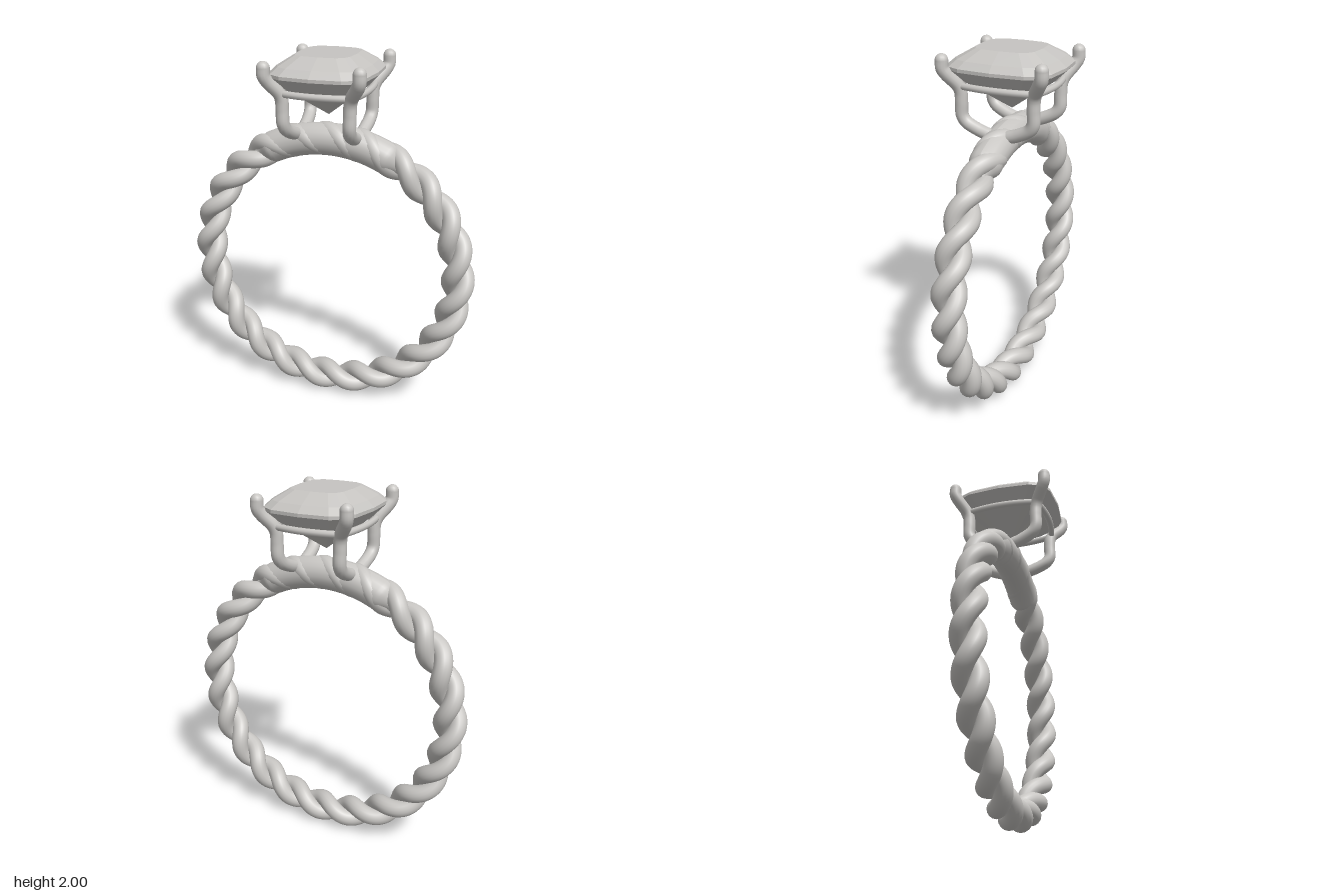
import * as THREE from 'three';

const CENTER_Y = 0.82;

// One strand of the rope: a helix wound around the ring circle
class StrandCurve extends THREE.Curve {
  constructor(phase) {
    super();
    this.phase = phase;
  }
  getPoint(u, target = new THREE.Vector3()) {
    const t = u * Math.PI * 2;
    const twist = 12 * t + this.phase;
    const r = 0.73 + 0.041 * Math.cos(twist);
    return target.set(r * Math.cos(t), CENTER_Y - r * Math.sin(t), 0.041 * Math.sin(twist));
  }
}

// Smooth upper part of the band, tapering into the rope at both ends
function sleeveGeometry() {
  const R = 0.727, half = THREE.MathUtils.degToRad(33);
  const g = new THREE.TorusGeometry(R, 0.086, 20, 72, half * 2);
  g.rotateZ(Math.PI / 2 - half);
  const p = g.attributes.position;
  for (let i = 0; i < p.count; i++) {
    const a = Math.atan2(p.getY(i), p.getX(i));
    const fromEnd = half - Math.abs(a - Math.PI / 2);
    const k = 0.5 + 0.5 * THREE.MathUtils.smoothstep(fromEnd, 0, 0.13);
    const cx = R * Math.cos(a), cy = R * Math.sin(a);
    p.setXYZ(i, cx + (p.getX(i) - cx) * k, cy + (p.getY(i) - cy) * k, p.getZ(i) * k);
  }
  g.computeVertexNormals();
  g.translate(0, CENTER_Y, 0);
  return g;
}

// Faceted cushion stone: scaled copies of one outline joined from culet to table
function gemGeometry() {
  const quarter = [[1, 0], [0.95, 0.6], [0.84, 0.82], [0.6, 0.95]];
  const outline = [];
  for (let q = 0; q < 4; q++) {
    for (let i = 0; i < 4; i++) {
      const [x, z] = q % 2 ? (i ? quarter[4 - i].slice() : [0, 1]) : quarter[i];
      // quadrants 0..3 run counter-clockwise in x, z
      const sx = q === 1 || q === 2 ? -1 : 1, sz = q >= 2 ? -1 : 1;
      outline.push([x * sx * 0.265, z * sz * 0.295]);
    }
  }
  const levels = [[1.68, 0], [1.84, 0.78], [1.9, 1], [1.917, 1], [1.95, 0.87], [2, 0.57], [2, 0]];
  const n = outline.length, pos = [], index = [];
  for (const [y, s] of levels) {
    for (const [x, z] of outline) pos.push(x * s, y, z * s);
  }
  for (let l = 0; l < levels.length - 1; l++) {
    for (let i = 0; i < n; i++) {
      const j = (i + 1) % n;
      const a = l * n + i, b = l * n + j, c = a + n, d = b + n;
      if (levels[l][1] > 0) index.push(a, c, b);
      if (levels[l + 1][1] > 0) index.push(b, c, d);
    }
  }
  const g = new THREE.BufferGeometry();
  g.setAttribute('position', new THREE.Float32BufferAttribute(pos, 3));
  g.setIndex(index);
  const flat = g.toNonIndexed();
  flat.computeVertexNormals();
  return flat;
}

export function createModel() {
  const model = new THREE.Group();
  model.name = 'ring';
  const metal = new THREE.MeshStandardMaterial({ color: 0xc8c6c3 });
  metal.name = 'metal';
  const stone = new THREE.MeshStandardMaterial({ color: 0xc6c4c1 });
  stone.name = 'stone';

  const add = (parent, name, geometry, material = metal) => {
    const mesh = new THREE.Mesh(geometry, material);
    mesh.name = name;
    parent.add(mesh);
    return mesh;
  };

  // Band: two twisted strands and the smooth top
  const band = new THREE.Group();
  band.name = 'band';
  model.add(band);
  [0, Math.PI].forEach((phase, i) =>
    add(band, `ropeStrand${i + 1}`, new THREE.TubeGeometry(new StrandCurve(phase), 480, 0.049, 16, true)));
  add(band, 'smoothTop', sleeveGeometry());

  // Four bent prongs with rounded ends
  const prongPath = [
    [0.163, 1.575, 0.05], [0.166, 1.595, 0.11], [0.172, 1.63, 0.175], [0.176, 1.665, 0.197],
    [0.178, 1.73, 0.198], [0.18, 1.785, 0.2], [0.19, 1.82, 0.21],
    [0.232, 1.882, 0.25], [0.245, 1.912, 0.265], [0.246, 1.952, 0.266],
  ];
  const setting = new THREE.Group();
  setting.name = 'setting';
  model.add(setting);
  for (const sx of [1, -1]) {
    for (const sz of [1, -1]) {
      const pts = prongPath.map(([x, y, z]) => new THREE.Vector3(x * sx, y, z * sz));
      const prong = new THREE.Group();
      prong.name = `${sz > 0 ? 'front' : 'back'}${sx > 0 ? 'Left' : 'Right'}Prong`;
      setting.add(prong);
      add(prong, 'prongWire', new THREE.TubeGeometry(new THREE.CatmullRomCurve3(pts), 48, 0.034, 14));
      for (const end of [pts[0], pts[pts.length - 1]]) {
        add(prong, 'prongEnd', new THREE.SphereGeometry(0.034, 14, 10)).position.copy(end);
      }
    }
  }

  // Thin gallery rail, bowed between neighbouring prongs
  const corners = [[1, 1], [-1, 1], [-1, -1], [1, -1]].map(([x, z]) => new THREE.Vector3(x * 0.187, 1.818, z * 0.207));
  corners.forEach((a, i) => {
    const b = corners[(i + 1) % 4];
    const mid = a.clone().add(b).multiplyScalar(0.5);
    mid.x *= 1.28;
    mid.z *= 1.28;
    add(setting, 'galleryRail', new THREE.TubeGeometry(new THREE.QuadraticBezierCurve3(a, mid, b), 16, 0.018, 10));
  });

  // Stone
  add(model, 'gem', gemGeometry(), stone);
  return model;
}
